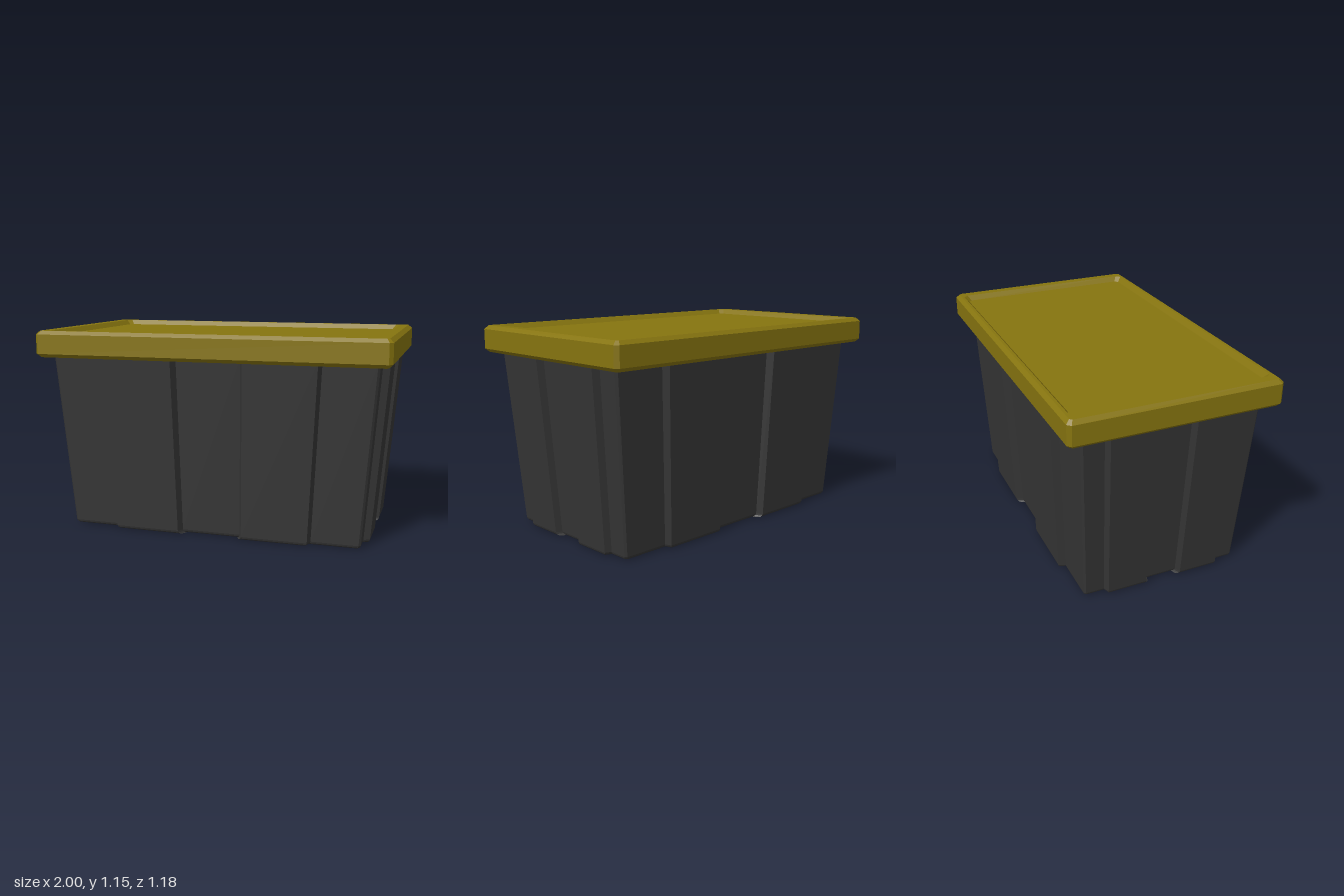
import * as THREE from 'three';

// Mirror a quarter outline [x, z] (from +x round to +z) into a closed loop
function mirrorQuarter(quarter) {
  const loop = [];
  for (const [sx, sz, reversed] of [[1, 1, false], [-1, 1, true], [-1, -1, false], [1, -1, true]]) {
    const points = reversed ? [...quarter].reverse() : quarter;
    for (const [x, z] of points) loop.push([x * sx, z * sz]);
  }
  return loop;
}

// Skin a stack of rings; a ring shrunk to the centre closes the surface
function loft(rings) {
  const positions = [];
  const triangle = (a, b, c) => {
    if (new THREE.Triangle(a, b, c).getArea() > 1e-9) {
      for (const p of [a, b, c]) positions.push(p.x, p.y, p.z);
    }
  };
  for (let r = 0; r < rings.length - 1; r++) {
    const low = rings[r], high = rings[r + 1], n = low.length;
    for (let i = 0; i < n; i++) {
      const j = (i + 1) % n;
      triangle(low[i], high[i], low[j]);
      triangle(low[j], high[i], high[j]);
    }
  }
  const geometry = new THREE.BufferGeometry();
  geometry.setAttribute('position', new THREE.Float32BufferAttribute(positions, 3));
  geometry.computeVertexNormals();
  return geometry;
}

function makeMesh(name, geometry, color) {
  const mesh = new THREE.Mesh(geometry, new THREE.MeshStandardMaterial({ color, flatShading: true }));
  mesh.name = name;
  return mesh;
}

// Tapered tub with two raised panels on every wall
function createTub() {
  const outline = mirrorQuarter([
    [0.93, 0.10], [0.968, 0.115], [0.968, 0.36], [0.93, 0.375],
    [0.93, 0.488], [0.918, 0.50],
    [0.63, 0.50], [0.615, 0.54], [0.205, 0.54], [0.185, 0.50],
  ]);
  const ring = (y, inset) => {
    const s = 0.912 + 0.088 * y;
    return outline.map(([x, z]) => new THREE.Vector3(
      x * s - Math.sign(x) * inset, y, z * s - Math.sign(z) * inset));
  };
  const rings = [outline.map(() => new THREE.Vector3(0, 0, 0))];
  // Rounded bottom edge
  const radius = 0.02;
  for (let i = 0; i <= 3; i++) {
    const a = (i / 3) * Math.PI / 2;
    rings.push(ring(radius * (1 - Math.cos(a)), radius * (1 - Math.sin(a))));
  }
  rings.push(ring(1.02, 0));
  return makeMesh('tub', loft(rings), 0x353535);
}

// Bevelled lid with a sunken top panel
function createLid() {
  // [half width, half depth, height, corner chamfer]
  const profile = [
    [0, 0, 1.0, 0],
    [0.978, 0.57, 1.0, 0.012],
    [1.0, 0.59, 1.02, 0.02],
    [1.0, 0.59, 1.13, 0.02],
    [0.978, 0.57, 1.15, 0.012],
    [0.927, 0.553, 1.15, 0.025],
    [0.902, 0.528, 1.122, 0.02],
    [0, 0, 1.122, 0],
  ];
  const rings = profile.map(([w, d, y, c]) =>
    mirrorQuarter([[w, d - c], [w - c, d]]).map(([x, z]) => new THREE.Vector3(x, y, z)));
  return makeMesh('lid', loft(rings), 0x86740f);
}

export function createModel() {
  const model = new THREE.Group();
  model.name = 'storageBox';
  model.add(createTub(), createLid());
  return model;
}
